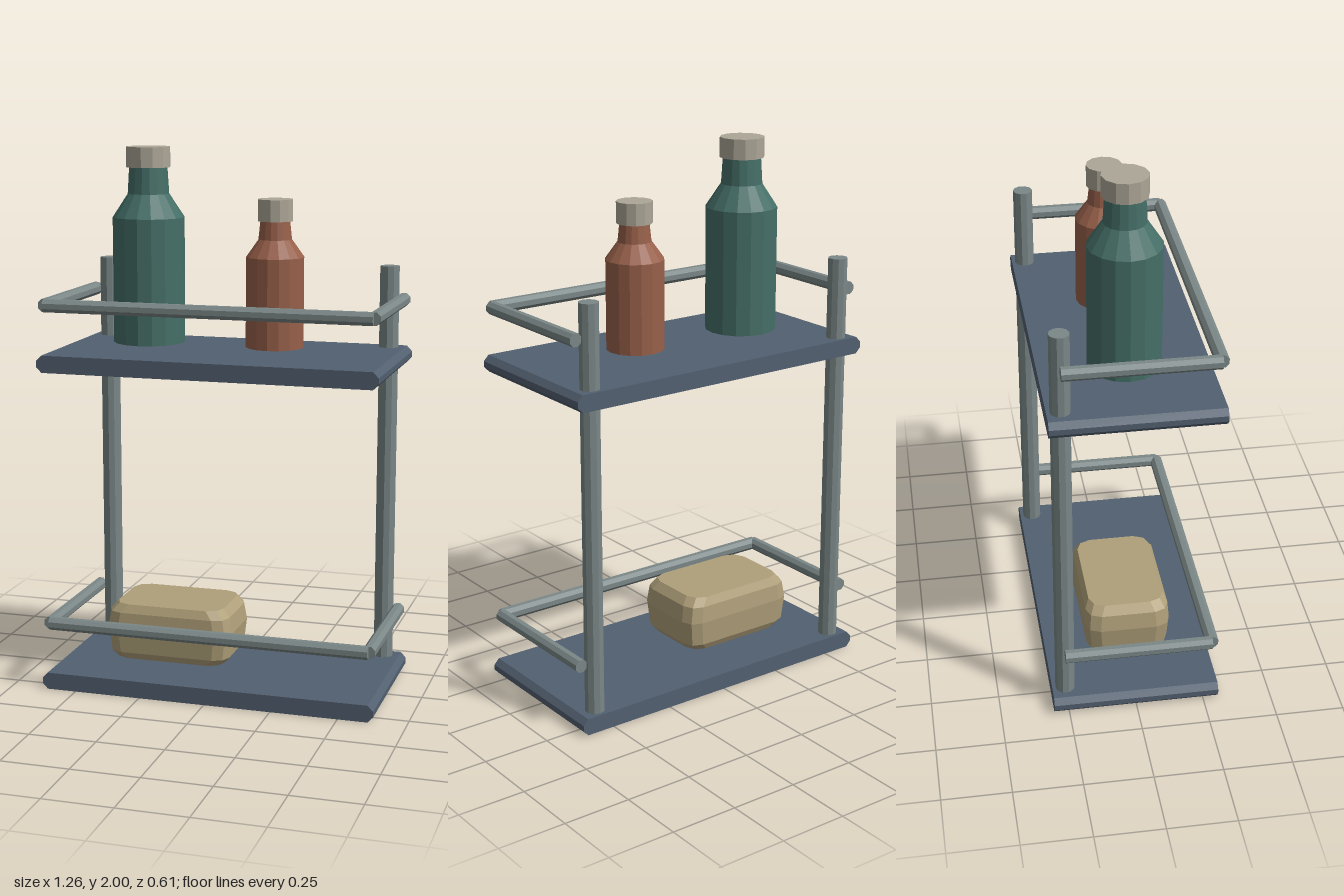
import * as THREE from 'three';

const mat = (name, color) => {
  const m = new THREE.MeshStandardMaterial({ color, flatShading: true });
  m.name = name;
  return m;
};

export function createModel() {
  const group = new THREE.Group();
  const slate = mat('slate', 0x526070);
  const metal = mat('metal', 0x7b8787);
  const teal = mat('teal', 0x456f67);
  const rust = mat('rust', 0x98604a);
  const stone = mat('stone', 0xaca696);
  const cream = mat('cream', 0xb0a07a);

  const add = (name, geometry, material, x = 0, y = 0, z = 0) => {
    const mesh = new THREE.Mesh(geometry, material);
    mesh.name = name;
    mesh.position.set(x, y, z);
    group.add(mesh);
    return mesh;
  };

  // Shelf board with chamfered left and right ends
  const outline = [[-0.61, 0], [0.61, 0], [0.63, 0.021], [0.63, 0.042],
    [0.61, 0.063], [-0.61, 0.063], [-0.63, 0.042], [-0.63, 0.021]];
  const board = new THREE.ExtrudeGeometry(
    new THREE.Shape(outline.map(([x, y]) => new THREE.Vector2(x, y))),
    { depth: 0.61, bevelEnabled: false });

  // Eight-sided rails, flats facing up
  const rail = (length) => new THREE.CylinderGeometry(0.025, 0.025, length, 8).rotateY(Math.PI / 8);
  const frontRail = rail(1.21).rotateZ(Math.PI / 2);
  const sideRail = rail(0.54).rotateX(Math.PI / 2);

  for (const [level, y] of [['lower', 0], ['upper', 1.2]]) {
    add(level + 'Shelf', board, slate, 0, y, -0.305);
    const railY = y + (y ? 0.242 : 0.25);
    add(level + 'FrontRail', frontRail, metal, 0, railY, 0.28);
    for (const s of [-1, 1]) {
      add(level + (s > 0 ? 'LeftRail' : 'RightRail'), sideRail, metal, s * 0.605, railY, 0.01);
    }
  }

  // Rear posts
  const post = new THREE.CylinderGeometry(0.036, 0.036, 1.545, 10);
  for (const s of [-1, 1]) {
    add(s > 0 ? 'leftPost' : 'rightPost', post, metal, s * 0.55, 0.7925, -0.257);
  }

  // Bottles: turned body with a shoulder and neck, plus a cap
  const bottle = (name, x, profile, material, capRadius, capTop) => {
    const points = profile.map(([r, y]) => new THREE.Vector2(r, y));
    const neckTop = profile[profile.length - 2][1];
    add(name, new THREE.LatheGeometry(points, 16), material, x);
    add(name + 'Cap', new THREE.CylinderGeometry(capRadius, capRadius, capTop - neckTop, 12),
      stone, x, (capTop + neckTop) / 2);
  };
  bottle('tallBottle', -0.3, [[0, 1.285], [0.132, 1.285], [0.132, 1.745],
    [0.076, 1.83], [0.07, 1.926], [0, 1.926]], teal, 0.082, 2);
  bottle('shortBottle', 0.18, [[0, 1.285], [0.106, 1.285], [0.106, 1.613],
    [0.061, 1.676], [0.054, 1.742], [0, 1.742]], rust, 0.065, 1.82);

  // Soap bar: stacked rounded-rectangle sections [y, half width, half depth]
  const sections = [[0.09, 0.209, 0.138], [0.117, 0.233, 0.153], [0.21, 0.243, 0.16],
    [0.272, 0.233, 0.155], [0.303, 0.207, 0.14]];
  const positions = [];
  const indices = [];
  const corner = 0.055, steps = 3, n = 4 * steps;
  for (const [y, w, d] of sections) {
    for (let q = 0; q < 4; q++) {
      const sx = q === 0 || q === 3 ? 1 : -1, sz = q < 2 ? 1 : -1;
      for (let i = 0; i < steps; i++) {
        const a = (q + i / (steps - 1)) * Math.PI / 2;
        positions.push(sx * (w - corner) + corner * Math.cos(a), y,
          sz * (d - corner) + corner * Math.sin(a));
      }
    }
  }
  for (let k = 0; k < sections.length - 1; k++) {
    for (let i = 0; i < n; i++) {
      const a = k * n + i, b = k * n + (i + 1) % n;
      indices.push(a, a + n, b, b, a + n, b + n);
    }
  }
  const top = (sections.length - 1) * n;
  for (let i = 1; i < n - 1; i++) {
    indices.push(0, i, i + 1, top, top + i + 1, top + i);
  }
  const soap = new THREE.BufferGeometry();
  soap.setAttribute('position', new THREE.Float32BufferAttribute(positions, 3));
  soap.setIndex(indices);
  soap.computeVertexNormals();
  add('soapBar', soap, cream, -0.195);

  return group;
}
